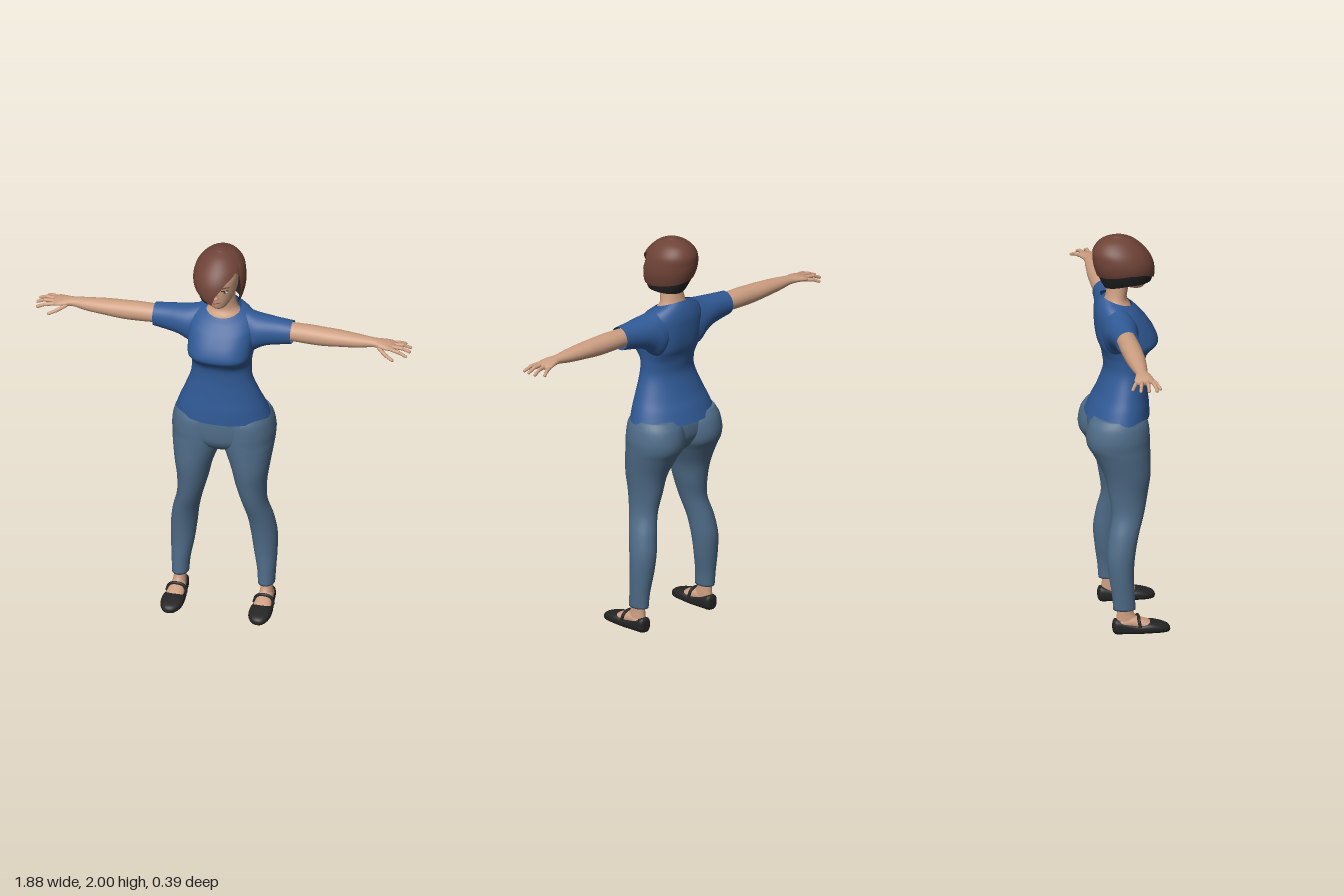
import * as THREE from 'three';
import { mergeGeometries } from 'three/addons/utils/BufferGeometryUtils.js';

const material = (name, color, side = THREE.FrontSide) => {
  const m = new THREE.MeshStandardMaterial({ color, side });
  m.name = name;
  return m;
};

const catmull = (a, b, c, d, t) =>
  0.5 * (2 * b + (c - a) * t + (2 * a - 5 * b + 4 * c - d) * t * t + (3 * b - a - 3 * c + d) * t * t * t);

// Piecewise-linear lookup in [key, value] pairs
function lookup(pairs, k) {
  for (let i = 1; i < pairs.length; i++) {
    const [k0, v0] = pairs[i - 1], [k1, v1] = pairs[i];
    if (k <= k1) return v0 + (v1 - v0) * (k - k0) / (k1 - k0);
  }
  return pairs[pairs.length - 1][1];
}

// Smooth loft through rows [position, a0, a1, b0, b1, roundness, tilt] along one axis.
// Axis y: a = x, b = z. Axis x: a = y, b = z. Axis z: a = x, b = y.
function loft(axis, rows, { segs = 40, steps = 5, caps = true, edge = null } = {}) {
  const R = rows.map(r => [...r, ...[2, 0].slice(r.length - 5)]);
  const last = R.length - 1, M = last * steps, pos = [], idx = [];
  const row = f => {
    const i = Math.min(Math.floor(f), last - 1), at = k => R[Math.max(0, Math.min(last, k))];
    return R[0].map((_, c) => catmull(at(i - 1)[c], at(i)[c], at(i + 1)[c], at(i + 2)[c], f - i));
  };
  const put = (p, a, b) => pos.push(...(axis === 'y' ? [a, p, b] : axis === 'x' ? [p, a, b] : [a, b, p]));
  for (let j = 0; j <= M; j++) for (let i = 0; i < segs; i++) {
    const th = i / segs * Math.PI * 2;
    const [p, a0, a1, b0, b1, n, tilt] = row(j / M * (edge ? edge(th * 180 / Math.PI) : last));
    const pw = v => Math.sign(v) * Math.pow(Math.abs(v), 2 / n);
    const b = (b1 - b0) / 2 * pw(Math.sin(th));
    put(p + tilt * b, (a0 + a1) / 2 + (a1 - a0) / 2 * pw(Math.cos(th)), (b0 + b1) / 2 + b);
  }
  for (let j = 0; j < M; j++) for (let i = 0; i < segs; i++) {
    const a = j * segs + i, b = j * segs + (i + 1) % segs, c = a + segs, d = b + segs;
    idx.push(a, c, b, b, c, d);
  }
  if (caps) for (const j of [0, M]) {
    const r = R[j ? last : 0], k = pos.length / 3;
    put(r[0], (r[1] + r[2]) / 2, (r[3] + r[4]) / 2);
    for (let i = 0; i < segs; i++) {
      const a = j * segs + i, b = j * segs + (i + 1) % segs;
      idx.push(...(j ? [a, k, b] : [a, b, k]));
    }
  }
  const g = new THREE.BufferGeometry();
  g.setAttribute('position', new THREE.Float32BufferAttribute(pos, 3));
  g.setIndex(idx);
  // Turn the faces outward
  g.computeBoundingBox();
  const mid = g.boundingBox.getCenter(new THREE.Vector3());
  const v = k => new THREE.Vector3().fromArray(pos, k * 3).sub(mid);
  let vol = 0;
  for (let k = 0; k < idx.length; k += 3) vol += v(idx[k]).dot(v(idx[k + 1]).cross(v(idx[k + 2])));
  if (vol < 0) flip(g);
  g.computeVertexNormals();
  return g;
}

function flip(g) {
  const a = g.index.array;
  for (let k = 0; k < a.length; k += 3) [a[k], a[k + 1]] = [a[k + 1], a[k]];
}

function capsule(p, q, r) {
  const a = new THREE.Vector3(...p), b = new THREE.Vector3(...q), d = b.clone().sub(a);
  const g = new THREE.CapsuleGeometry(r, d.length(), 5, 12);
  g.applyQuaternion(new THREE.Quaternion().setFromUnitVectors(new THREE.Vector3(0, 1, 0), d.normalize()));
  return g.translate(...a.add(b).multiplyScalar(0.5).toArray());
}

const blob = (x, y, z, rx, ry, rz) => new THREE.SphereGeometry(1, 20, 14).scale(rx, ry, rz).translate(x, y, z);

export function createModel() {
  const model = new THREE.Group();
  model.name = 'woman';
  const skin = material('skin', 0xcd9f82);
  const hairBrown = material('hairBrown', 0x6f4337, THREE.DoubleSide);
  const black = material('black', 0x242424, THREE.DoubleSide);
  const blue = material('shirtBlue', 0x305a96, THREE.DoubleSide);
  const denim = material('denim', 0x4f6c88);
  const eyeWhite = material('eyeWhite', 0xd8d0c8);
  const lipRed = material('lipRed', 0xa8675a);

  const add = (name, g, m) => {
    const mesh = new THREE.Mesh(g, m);
    mesh.name = name;
    model.add(mesh);
  };
  const pair = (name, g, m) => {
    const r = g.clone().scale(-1, 1, 1);
    flip(r);
    add(name + 'Left', g, m);
    add(name + 'Right', r, m);
  };

  // Shirt body with scoop neck, and sleeves
  add('shirtBody', loft('y', [
    [1.075, -0.237, 0.237, -0.182, 0.13], [1.14, -0.215, 0.215, -0.155, 0.127],
    [1.2, -0.19, 0.19, -0.125, 0.12], [1.3, -0.153, 0.153, -0.092, 0.112],
    [1.37, -0.148, 0.148, -0.097, 0.115], [1.41, -0.15, 0.15, -0.105, 0.135, 2.4],
    [1.45, -0.157, 0.157, -0.12, 0.17, 2.7], [1.5, -0.16, 0.16, -0.13, 0.158, 2.6],
    [1.56, -0.163, 0.163, -0.135, 0.12, 2.4], [1.6, -0.162, 0.162, -0.135, 0.095, 2.2, -0.1],
    [1.637, -0.14, 0.14, -0.125, 0.072, 2, -0.22], [1.665, -0.088, 0.088, -0.107, 0.047, 2, -0.37],
  ], { segs: 56, caps: false }), blue);
  pair('sleeve', loft('x', [
    [0.06, 1.46, 1.655, -0.11, 0.03], [0.12, 1.415, 1.652, -0.118, 0.045],
    [0.17, 1.455, 1.642, -0.112, 0.05], [0.22, 1.482, 1.636, -0.102, 0.043],
    [0.28, 1.495, 1.63, -0.092, 0.033], [0.345, 1.507, 1.624, -0.087, 0.027],
  ], { caps: false }), blue);

  // Jeans: pelvis and legs
  add('jeansPelvis', loft('y', [
    [1.11, -0.215, 0.215, -0.15, 0.105], [1.06, -0.243, 0.243, -0.165, 0.113],
    [1.0, -0.25, 0.25, -0.165, 0.115], [0.95, -0.22, 0.22, -0.14, 0.108],
    [0.91, -0.14, 0.14, -0.1, 0.08], [0.885, -0.04, 0.04, -0.05, 0.04],
  ]), denim);
  pair('jeansLeg', loft('y', [
    [1.1, 0.0, 0.225, -0.155, 0.09], [1.06, -0.01, 0.245, -0.183, 0.108],
    [1.0, -0.015, 0.256, -0.196, 0.114], [0.95, -0.012, 0.254, -0.19, 0.115],
    [0.9, 0.006, 0.249, -0.16, 0.116], [0.8, 0.046, 0.235, -0.112, 0.115],
    [0.7, 0.07, 0.222, -0.09, 0.1], [0.6, 0.098, 0.224, -0.077, 0.08],
    [0.5, 0.122, 0.25, -0.095, 0.05], [0.4, 0.136, 0.265, -0.108, 0.03],
    [0.3, 0.15, 0.265, -0.1, 0.022], [0.2, 0.168, 0.26, -0.086, 0.025],
    [0.125, 0.174, 0.256, -0.08, 0.03],
  ]), denim);

  // Feet and strapped flat shoes
  pair('ankle', loft('y', [
    [0.17, 0.19, 0.245, -0.06, 0.01], [0.11, 0.188, 0.246, -0.062, 0.018],
    [0.07, 0.185, 0.25, -0.066, 0.045], [0.04, 0.185, 0.25, -0.066, 0.07],
  ]), skin);
  pair('instep', loft('z', [
    [-0.05, 0.19, 0.25, 0.02, 0.08], [0.0, 0.182, 0.255, 0.02, 0.095],
    [0.05, 0.177, 0.26, 0.02, 0.08], [0.1, 0.175, 0.263, 0.02, 0.06], [0.13, 0.19, 0.25, 0.02, 0.04],
  ]), skin);
  pair('shoe', loft('z', [
    [-0.083, 0.2, 0.235, 0.015, 0.06], [-0.07, 0.184, 0.25, 0, 0.077, 2.6],
    [-0.02, 0.178, 0.257, 0, 0.066, 3], [0.04, 0.17, 0.266, 0, 0.052, 3],
    [0.1, 0.164, 0.275, 0, 0.06, 2.6], [0.15, 0.168, 0.272, 0, 0.05, 2.5],
    [0.185, 0.188, 0.255, 0, 0.038, 2.3], [0.197, 0.21, 0.235, 0.008, 0.024],
  ]), black);
  const strap = [[0.17, 0.04, 0.045], [0.183, 0.075, 0.04], [0.218, 0.086, 0.042], [0.253, 0.075, 0.04], [0.267, 0.04, 0.045]];
  pair('shoeStrap', new THREE.TubeGeometry(
    new THREE.CatmullRomCurve3(strap.map(p => new THREE.Vector3(...p))), 20, 0.008, 8), black);

  // Arms, palms and fingers
  pair('arm', loft('x', [
    [0.28, 1.525, 1.612, -0.078, 0.015], [0.42, 1.52, 1.615, -0.079, 0.02],
    [0.5, 1.52, 1.612, -0.077, 0.02], [0.58, 1.527, 1.608, -0.075, 0.017],
    [0.68, 1.536, 1.6, -0.066, 0.008], [0.75, 1.548, 1.592, -0.06, -0.002],
    [0.79, 1.55, 1.588, -0.069, 0.01], [0.83, 1.549, 1.58, -0.08, 0.014],
    [0.857, 1.55, 1.569, -0.072, 0.004],
  ], { segs: 28 }), skin);
  const fingers = [
    [[0.845, 1.563, 0.004], [0.885, 1.558, 0.012], [0.922, 1.543, 0.016]],
    [[0.85, 1.565, -0.02], [0.895, 1.562, -0.022], [0.93, 1.547, -0.024]],
    [[0.85, 1.563, -0.046], [0.892, 1.561, -0.056], [0.926, 1.547, -0.064]],
    [[0.835, 1.56, -0.068], [0.868, 1.556, -0.084], [0.893, 1.545, -0.098]],
    [[0.785, 1.56, 0.002], [0.825, 1.542, 0.03], [0.86, 1.527, 0.042]],
  ];
  pair('fingers', mergeGeometries(fingers.flatMap(([a, b, c]) => [capsule(a, b, 0.0095), capsule(b, c, 0.008)])), skin);

  // Neck and head
  add('neck', loft('y', [
    [1.59, -0.12, 0.12, -0.11, 0.05], [1.635, -0.095, 0.095, -0.1, 0.04],
    [1.67, -0.07, 0.07, -0.085, 0.022], [1.72, -0.06, 0.06, -0.075, 0.028], [1.78, -0.058, 0.058, -0.07, 0.04],
  ]), skin);
  add('head', loft('y', [
    [1.722, -0.025, 0.025, 0.04, 0.098], [1.735, -0.042, 0.042, 0, 0.112],
    [1.765, -0.062, 0.062, -0.06, 0.12], [1.8, -0.074, 0.074, -0.09, 0.124],
    [1.83, -0.079, 0.079, -0.1, 0.126], [1.88, -0.082, 0.082, -0.11, 0.125],
    [1.93, -0.075, 0.075, -0.1, 0.09], [1.965, -0.05, 0.05, -0.07, 0.04],
  ]), skin);
  add('nose', mergeGeometries([
    capsule([0, 1.838, 0.124], [0, 1.806, 0.138], 0.009), blob(0, 1.804, 0.137, 0.015, 0.009, 0.012)]), skin);
  add('lips', mergeGeometries([
    blob(0, 1.771, 0.12, 0.022, 0.005, 0.006), blob(0, 1.762, 0.119, 0.018, 0.005, 0.006)]), lipRed);
  pair('eye', blob(0.04, 1.832, 0.112, 0.015, 0.006, 0.005), eyeWhite);
  pair('pupil', blob(0.04, 1.832, 0.115, 0.006, 0.006, 0.004), black);
  pair('lashes', capsule([0.026, 1.838, 0.121], [0.056, 1.837, 0.106], 0.0025), black);
  pair('eyebrow', capsule([0.022, 1.853, 0.123], [0.06, 1.855, 0.101], 0.003), hairBrown);

  // Bobbed hair with a side-swept fringe; hem heights are given by angle (0 = left, 90 = front)
  const hairRows = k => [
    [2.0, -0.02, 0, -0.03, -0.01], [1.975, -0.078, 0.06, -0.105, 0.055],
    [1.93, -0.122, 0.1, -0.143, 0.108], [1.88, -0.139, 0.114, -0.146, 0.142],
    [1.83, -0.136, 0.117, -0.137, 0.156], [1.78, -0.115, 0.108, -0.118, 0.155],
    [1.73, -0.085, 0.09, -0.09, 0.14],
  ].map(([y, ...w]) => [y - (1 - k) * 0.1, ...w.map(v => v * k)]);
  const hem = pairs => deg => Math.min(6, (1.93 - lookup(pairs, deg)) / 0.05 + 2);
  add('hair', loft('y', hairRows(1), { segs: 96, steps: 6, caps: false, edge: hem([
    [0, 1.765], [18, 1.77], [26, 1.9], [37, 1.918], [61, 1.885], [84, 1.825], [98, 1.767],
    [112, 1.785], [150, 1.82], [180, 1.825], [225, 1.805], [270, 1.795], [360, 1.765]]) }), hairBrown);
  add('hairCrown', blob(-0.01, 1.992, -0.02, 0.028, 0.008, 0.034), hairBrown);
  add('hairUnderlayer', loft('y', hairRows(0.94), { segs: 96, steps: 6, caps: false, edge: hem([
    [0, 1.745], [14, 1.75], [27, 1.925], [60, 1.91], [84, 1.86], [98, 1.79],
    [115, 1.77], [180, 1.77], [225, 1.75], [270, 1.735], [360, 1.745]]) }), black);

  return model;
}
